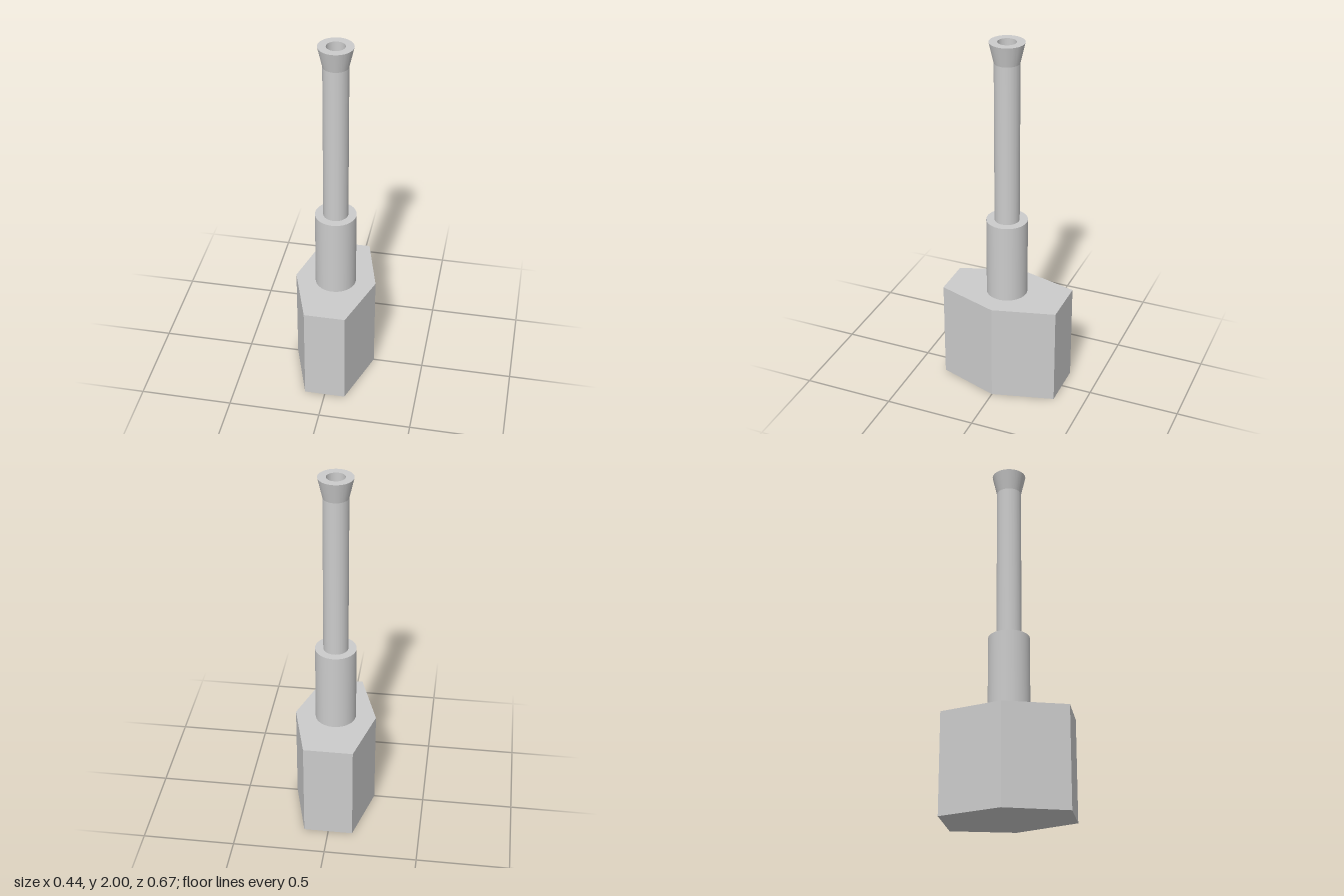
import * as THREE from 'three';
import { toCreasedNormals } from 'three/addons/utils/BufferGeometryUtils.js';

const material = new THREE.MeshStandardMaterial({ color: 0xcccccc });

function addPart(group, name, geometry) {
  const mesh = new THREE.Mesh(geometry, material);
  mesh.name = name;
  group.add(mesh);
}

// Turned part from [radius, height] points, with crisp edges
function turned(points) {
  const profile = points.map(([r, y]) => new THREE.Vector2(r, y));
  return toCreasedNormals(new THREE.LatheGeometry(profile, 64), 0.18);
}

export function createModel() {
  const group = new THREE.Group();
  group.name = 'gunBarrel';

  // Six-sided mount block, slightly wider at the back
  const outline = new THREE.Shape([
    [-0.111, -0.333], [0.111, -0.333], [0.222, 0],
    [0.133, 0.333], [-0.133, 0.333], [-0.222, 0],
  ].map(([x, y]) => new THREE.Vector2(x, y)));
  const block = new THREE.ExtrudeGeometry(outline, { depth: 0.556, bevelEnabled: false });
  block.rotateX(-Math.PI / 2);
  addPart(group, 'mountBlock', block);

  // Thick sleeve around the foot of the barrel
  const sleeve = new THREE.CylinderGeometry(0.111, 0.111, 0.444, 64);
  sleeve.translate(0, 0.778, 0);
  addPart(group, 'sleeve', sleeve);

  // Barrel with flared muzzle and hollow bore
  addPart(group, 'barrel', turned([
    [0.067, 1], [0.067, 1.89], [0.092, 2],
    [0.049, 2], [0.049, 1.002], [0, 1.002],
  ]));

  return group;
}
